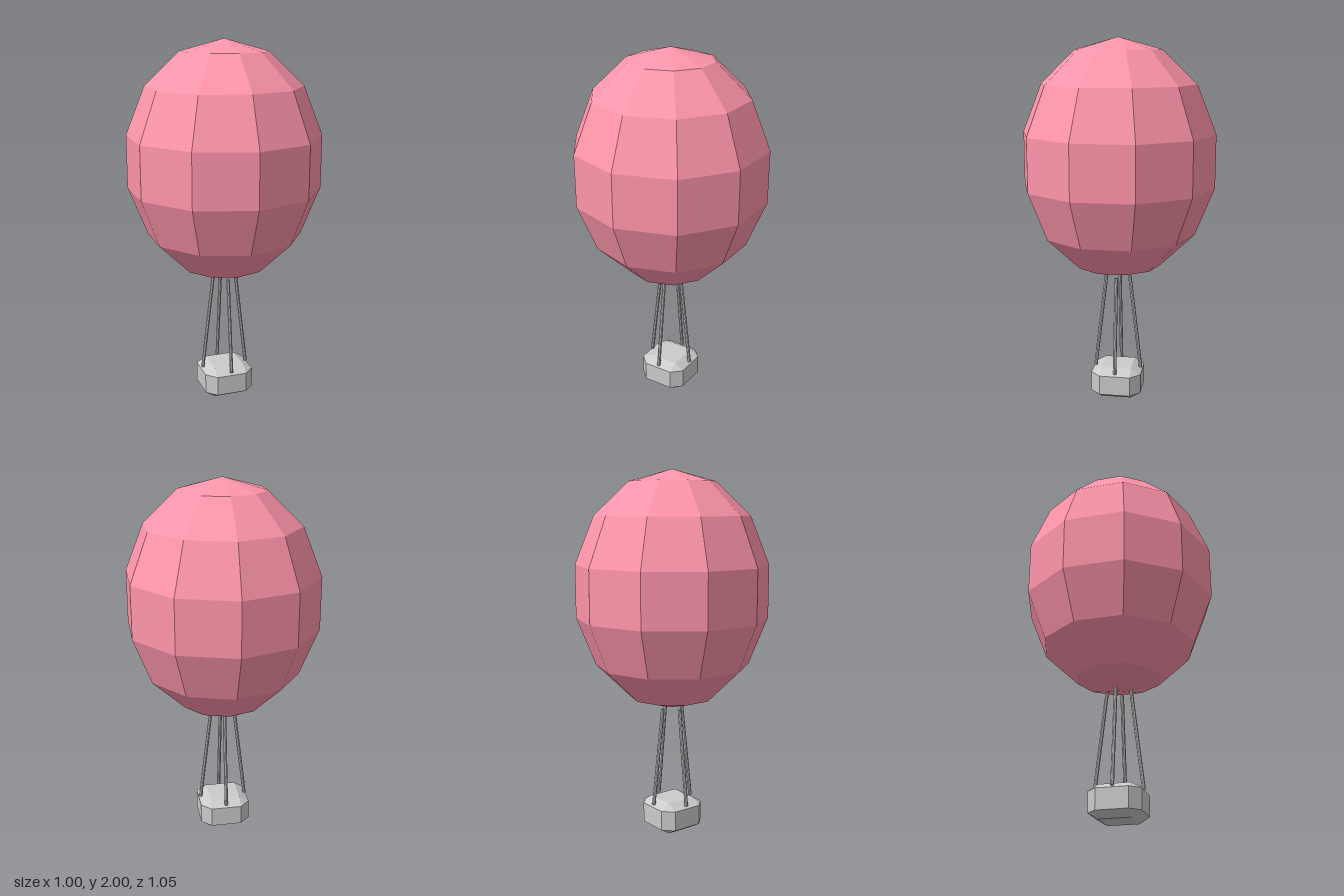
import * as THREE from 'three';
import { ConvexGeometry } from 'three/addons/geometries/ConvexGeometry.js';

export function createModel() {
  const model = new THREE.Group();
  const grey = new THREE.MeshStandardMaterial({ color: 0xcccccc, flatShading: true });
  const pink = new THREE.MeshStandardMaterial({ color: 0xff95ab, flatShading: true });

  const add = (name, geometry, material, parent = model) => {
    const mesh = new THREE.Mesh(geometry, material);
    mesh.name = name;
    parent.add(mesh);
    return mesh;
  };

  // Envelope: ten-sided faceted ellipsoid with a corner line facing front
  const envelope = new THREE.SphereGeometry(1, 10, 7);
  envelope.rotateY(Math.PI / 2);
  envelope.scale(0.54, 0.65, 0.54);
  envelope.translate(0, 1.35, 0);
  add('envelope', envelope, pink);

  // Basket: box with every edge and corner bevelled
  const inner = 0.085, outer = 0.14, midY = 0.0875, innerY = 0.055;
  const points = [];
  for (const sx of [-1, 1]) for (const sy of [-1, 1]) for (const sz of [-1, 1]) {
    points.push(
      new THREE.Vector3(sx * outer, midY + sy * innerY, sz * inner),
      new THREE.Vector3(sx * inner, midY + sy * midY, sz * inner),
      new THREE.Vector3(sx * inner, midY + sy * innerY, sz * outer)
    );
  }
  add('basket', new ConvexGeometry(points), grey);

  // Ropes: four thin rods leaning in from the middle of each basket side
  const ropes = new THREE.Group();
  ropes.name = 'ropes';
  model.add(ropes);
  const bottom = new THREE.Vector3(0.13, 0.155, 0);
  const top = new THREE.Vector3(0.066, 0.697, 0);
  const direction = top.clone().sub(bottom);
  const rod = new THREE.CylinderGeometry(0.01, 0.01, direction.length(), 8);
  rod.applyQuaternion(new THREE.Quaternion().setFromUnitVectors(
    new THREE.Vector3(0, 1, 0), direction.clone().normalize()));
  const middle = bottom.clone().add(top).multiplyScalar(0.5);
  rod.translate(middle.x, middle.y, middle.z);
  for (let i = 0; i < 4; i++) {
    add('rope', rod, grey, ropes).rotation.y = i * Math.PI / 2;
  }

  return model;
}
